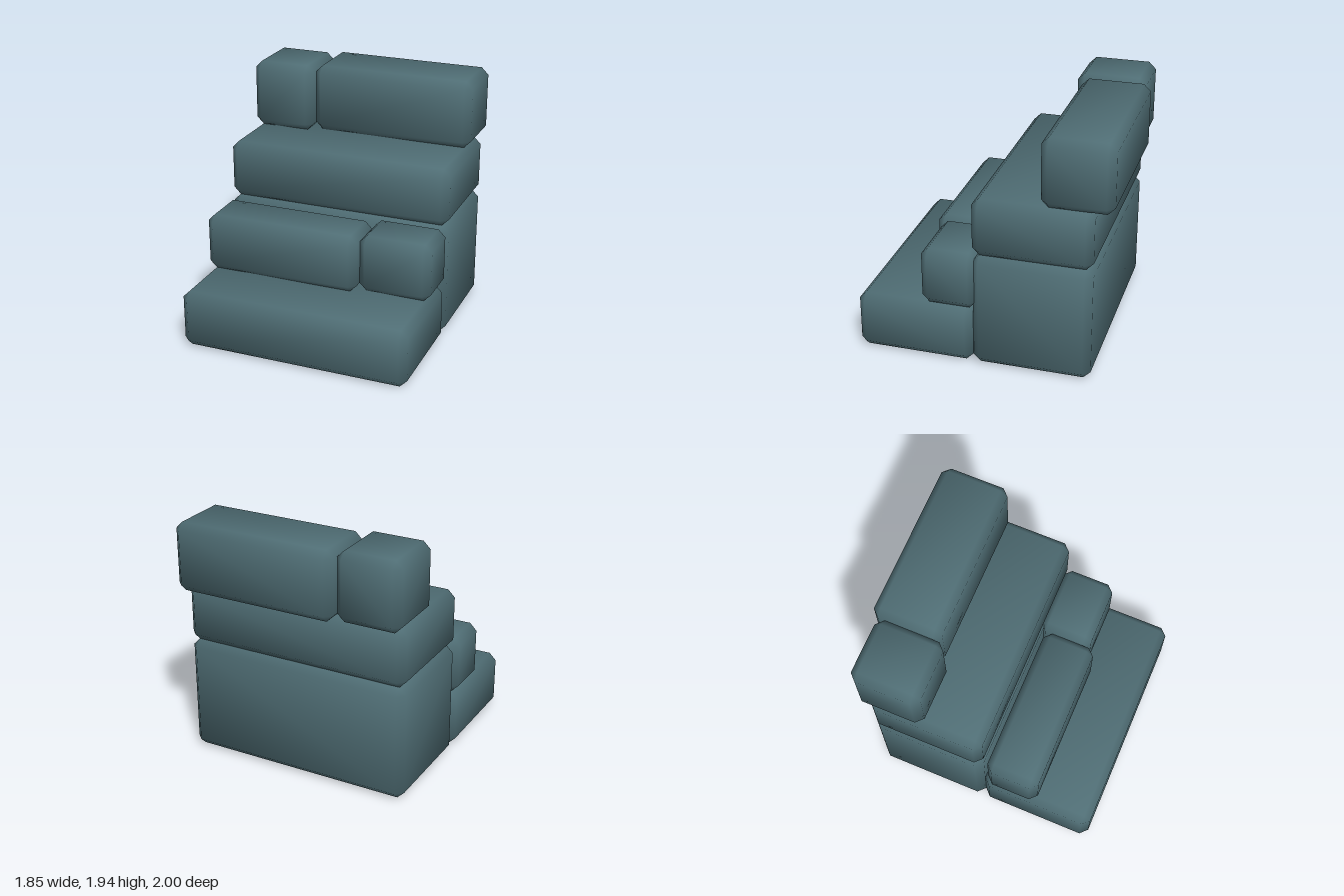
import * as THREE from 'three';

const CHAMFER = 0.057;
const SIGNS = [-1, 1];

// Box with every edge cut at 45 degrees and shared, softly shaded corners.
function chamferedBox(w, h, d, c) {
  const half = [w / 2, h / 2, d / 2];
  const positions = [], normals = [], indices = [];

  // Three vertices per corner, one for each face that meets there.
  for (const sx of SIGNS) for (const sy of SIGNS) for (const sz of SIGNS) {
    const s = [sx, sy, sz];
    for (let axis = 0; axis < 3; axis++) {
      positions.push(...s.map((v, i) => v * (half[i] - (i === axis ? 0 : c))));
      // Angle-weighted average of the face, two chamfers and the corner.
      normals.push(...s.map((v, i) => v * (i === axis ? 0.876 : 0.341)));
    }
  }
  const id = (s, axis) => ((s[0] > 0 ? 4 : 0) + (s[1] > 0 ? 2 : 0) + (s[2] > 0 ? 1 : 0)) * 3 + axis;
  const corner = (a, sa, b, sb, e, se) => {
    const s = [];
    s[a] = sa; s[b] = sb; s[e] = se;
    return s;
  };
  const tri = (a, b, c2, flip) => indices.push(...(flip ? [a, c2, b] : [a, b, c2]));
  const quad = (a, b, c2, d2, flip) => { tri(a, b, c2, flip); tri(a, c2, d2, flip); };

  for (let a = 0; a < 3; a++) {
    const b = (a + 1) % 3, e = (a + 2) % 3;
    // Flat faces
    for (const s of SIGNS) {
      const v = (p, q) => id(corner(a, s, b, p, e, q), a);
      quad(v(-1, -1), v(1, -1), v(1, 1), v(-1, 1), s < 0);
    }
    // Edge chamfers running along axis a
    for (const p of SIGNS) for (const q of SIGNS) {
      const lo = corner(a, -1, b, p, e, q), hi = corner(a, 1, b, p, e, q);
      quad(id(lo, b), id(lo, e), id(hi, e), id(hi, b), p * q < 0);
    }
  }
  // Corner triangles
  for (const sx of SIGNS) for (const sy of SIGNS) for (const sz of SIGNS) {
    const s = [sx, sy, sz];
    tri(id(s, 0), id(s, 1), id(s, 2), sx * sy * sz < 0);
  }

  const geometry = new THREE.BufferGeometry();
  geometry.setAttribute('position', new THREE.Float32BufferAttribute(positions, 3));
  geometry.setAttribute('normal', new THREE.Float32BufferAttribute(normals, 3));
  geometry.setIndex(indices);
  return geometry;
}

export function createModel() {
  const group = new THREE.Group();
  group.name = 'stoneSteps';
  const stone = new THREE.MeshStandardMaterial({ color: 0x4f6d74 });
  stone.name = 'slate stone';

  // name, x range, y range, z range
  const blocks = [
    ['bottomStep', [-0.925, 0.925], [0, 0.465], [0.073, 1]],
    ['backBase', [-0.925, 0.925], [0, 0.93], [-0.855, 0.073]],
    ['secondStepLong', [-0.925, 0.343], [0.465, 0.93], [0.102, 0.537]],
    ['secondStepShort', [0.343, 0.925], [0.465, 0.93], [0.043, 0.478]],
    ['thirdStep', [-0.925, 0.925], [0.93, 1.395], [-0.855, 0.073]],
    ['topStepShort', [-0.925, -0.408], [1.395, 1.943], [-0.943, -0.393]],
    ['topStepLong', [-0.408, 0.925], [1.395, 1.943], [-1, -0.452]],
  ];
  for (const [name, ...ranges] of blocks) {
    const [w, h, d] = ranges.map(([lo, hi]) => hi - lo);
    const mesh = new THREE.Mesh(chamferedBox(w, h, d, CHAMFER), stone);
    mesh.name = name;
    mesh.position.set(...ranges.map(([lo, hi]) => (lo + hi) / 2));
    group.add(mesh);
  }
  return group;
}
